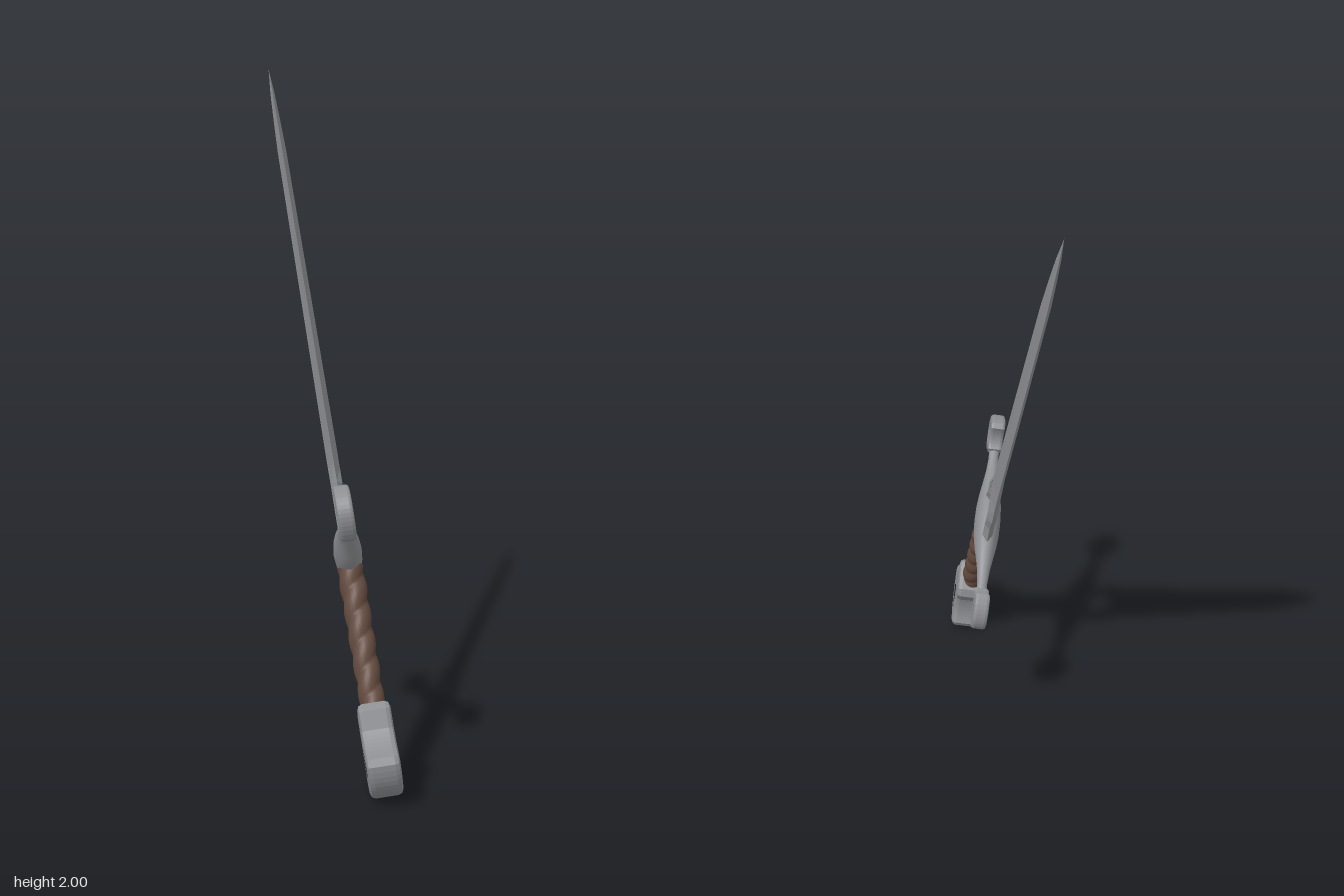
import * as THREE from 'three';

const steel = new THREE.MeshStandardMaterial({ color: 0x8e8f93 });
steel.name = 'steel';
const leather = new THREE.MeshStandardMaterial({ color: 0x644b3f });
leather.name = 'brown leather';

// Skin between equal-sized rings of [x, y, z] points
function loft(rings, flat) {
  const n = rings[0].length, index = [];
  for (let i = 0; i < rings.length - 1; i++) {
    for (let j = 0; j < n; j++) {
      const k = (j + 1) % n, a = i * n, b = a + n;
      index.push(a + j, a + k, b + k, a + j, b + k, b + j);
    }
  }
  let g = new THREE.BufferGeometry();
  g.setAttribute('position', new THREE.Float32BufferAttribute(rings.flat(2), 3));
  g.setIndex(index);
  if (flat) g = g.toNonIndexed();
  g.computeVertexNormals();
  return g;
}

function part(name, geometry, material) {
  const mesh = new THREE.Mesh(geometry, material);
  mesh.name = name;
  return mesh;
}

// Bevelled plate centred on z = 0, keeping the drawn outline
function plate(shape, thickness, bevel) {
  const depth = thickness - 2 * bevel;
  return new THREE.ExtrudeGeometry(shape, {
    depth, bevelThickness: bevel, bevelSize: bevel, bevelOffset: -bevel, bevelSegments: 2, curveSegments: 8,
  }).translate(0, 0, -depth / 2);
}

// Blade half: [height, inner edge, ridge, outer edge, ridge half thickness]
const bladeRows = [
  [0.0, 0.045, 0.07, 0.095, 0.016],
  [0.05, 0.045, 0.069, 0.093, 0.016],
  [0.1, 0.036, 0.056, 0.075, 0.016],
  [0.14, 0.04, 0.06, 0.08, 0.016],
  [0.18, 0.034, 0.058, 0.09, 0.016],
  [0.245, 0, 0.022, 0.078, 0.017],
  [0.31, 0, 0, 0.072, 0.018],
  [1.34, 0, 0, 0.05, 0.014],
  [1.45, 0, 0, 0.038, 0.011],
  [1.56, 0, 0, 0.021, 0.007],
  [1.655, 0, 0, 0, 0],
];
function bladeHalf(side) {
  return loft(bladeRows.map(([y, inner, ridge, outer, h]) => {
    const ring = [[outer, y, 0], [ridge, y, -h], [inner, y, 0], [ridge, y, h]]
      .map(([x, v, z]) => [x * side, v, z]);
    return side > 0 ? ring : ring.reverse();
  }), true);
}

// Crossguard bar: [distance from centre, top, bottom, half thickness]
const guardRows = [
  [0, 0.055, -0.085, 0.042],
  [0.05, 0.053, -0.079, 0.04],
  [0.09, 0.045, -0.06, 0.035],
  [0.13, 0.033, -0.034, 0.028],
  [0.17, 0.023, -0.017, 0.021],
  [0.22, 0.017, -0.011, 0.016],
  [0.275, 0.019, -0.011, 0.017],
];
function guardBar() {
  const mirrored = guardRows.slice(1).reverse().map(([x, ...r]) => [-x, ...r]);
  return loft([...mirrored, ...guardRows].map(([x, top, bottom, h]) => {
    const ring = [];
    for (let j = 0; j < 16; j++) {
      const a = (j / 16) * Math.PI * 2;
      ring.push([x, (top + bottom) / 2 + Math.cos(a) * (top - bottom) / 2, Math.sin(a) * h]);
    }
    return ring;
  }), false);
}

// Pierced crescent at each end of the guard
function guardEnd(side) {
  const s = new THREE.Shape();
  const c = 0.012;
  s.moveTo(side * 0.245, c + 0.014);
  s.quadraticCurveTo(side * 0.285, c + 0.025, side * 0.288, c + 0.078);
  s.lineTo(side * 0.308, c + 0.08);
  s.bezierCurveTo(side * 0.352, c + 0.06, side * 0.371, c + 0.03, side * 0.371, c);
  s.bezierCurveTo(side * 0.371, c - 0.03, side * 0.352, c - 0.06, side * 0.308, c - 0.08);
  s.lineTo(side * 0.288, c - 0.078);
  s.quadraticCurveTo(side * 0.285, c - 0.025, side * 0.245, c - 0.014);
  const hole = new THREE.Path();
  hole.moveTo(side * 0.284, c);
  hole.lineTo(side * 0.308, c + 0.047);
  hole.quadraticCurveTo(side * 0.362, c, side * 0.308, c - 0.047);
  hole.lineTo(side * 0.284, c);
  s.holes.push(hole);
  return plate(s, 0.046, 0.009);
}

// Grip with a two-strand twist
function grip() {
  const rings = [], steps = 72, sides = 28;
  for (let i = 0; i <= steps; i++) {
    const k = i / steps, y = -0.5 + k * 0.44, ring = [];
    for (let j = 0; j < sides; j++) {
      const a = (j / sides) * Math.PI * 2;
      const bump = Math.abs(Math.sin(a - (y * Math.PI * 2) / 0.16));
      const r = 0.84 + 0.17 * bump;
      ring.push([Math.sin(a) * r * (0.042 + 0.007 * k), y, Math.cos(a) * r * (0.036 + 0.004 * k)]);
    }
    rings.push(ring);
  }
  return loft(rings, false);
}

// Pommel: collar, waist and pierced crescent
function pommel() {
  const s = new THREE.Shape();
  s.moveTo(0.052, -0.472);
  s.lineTo(0.07, -0.496);
  s.lineTo(0.06, -0.55);
  s.quadraticCurveTo(0.072, -0.605, 0.112, -0.64);
  s.lineTo(0.111, -0.663);
  s.quadraticCurveTo(0.07, -0.724, 0, -0.728);
  s.quadraticCurveTo(-0.07, -0.724, -0.111, -0.663);
  s.lineTo(-0.112, -0.64);
  s.quadraticCurveTo(-0.072, -0.605, -0.06, -0.55);
  s.lineTo(-0.07, -0.496);
  s.lineTo(-0.052, -0.472);
  const hole = new THREE.Path();
  hole.moveTo(0, -0.552);
  hole.quadraticCurveTo(0.032, -0.61, 0.066, -0.658);
  hole.quadraticCurveTo(0, -0.712, -0.066, -0.658);
  hole.quadraticCurveTo(-0.032, -0.61, 0, -0.552);
  s.holes.push(hole);
  return plate(s, 0.094, 0.015);
}

export function createModel() {
  const sword = new THREE.Group();
  sword.name = 'sword';
  for (const side of [1, -1]) {
    const label = side > 0 ? 'left' : 'right';
    sword.add(part(label + 'BladeHalf', bladeHalf(side), steel));
    sword.add(part(label + 'GuardEnd', guardEnd(side), steel));
  }
  sword.add(part('crossguard', guardBar(), steel));
  sword.add(part('grip', grip(), leather));
  sword.add(part('pommel', pommel(), steel));

  // Lean the upright sword: blade direction, then guard direction square to it
  const along = new THREE.Vector3(0.305, 0.831, -0.465).normalize();
  const across = new THREE.Vector3(0.658, -0.53, -0.537);
  across.addScaledVector(along, -across.dot(along)).normalize();
  const facing = across.clone().cross(along);
  sword.quaternion.setFromRotationMatrix(new THREE.Matrix4().makeBasis(across, along, facing));
  sword.position.set(-0.11, 0.625, 0.19);

  const model = new THREE.Group();
  model.name = 'leaningSword';
  model.add(sword);
  return model;
}
